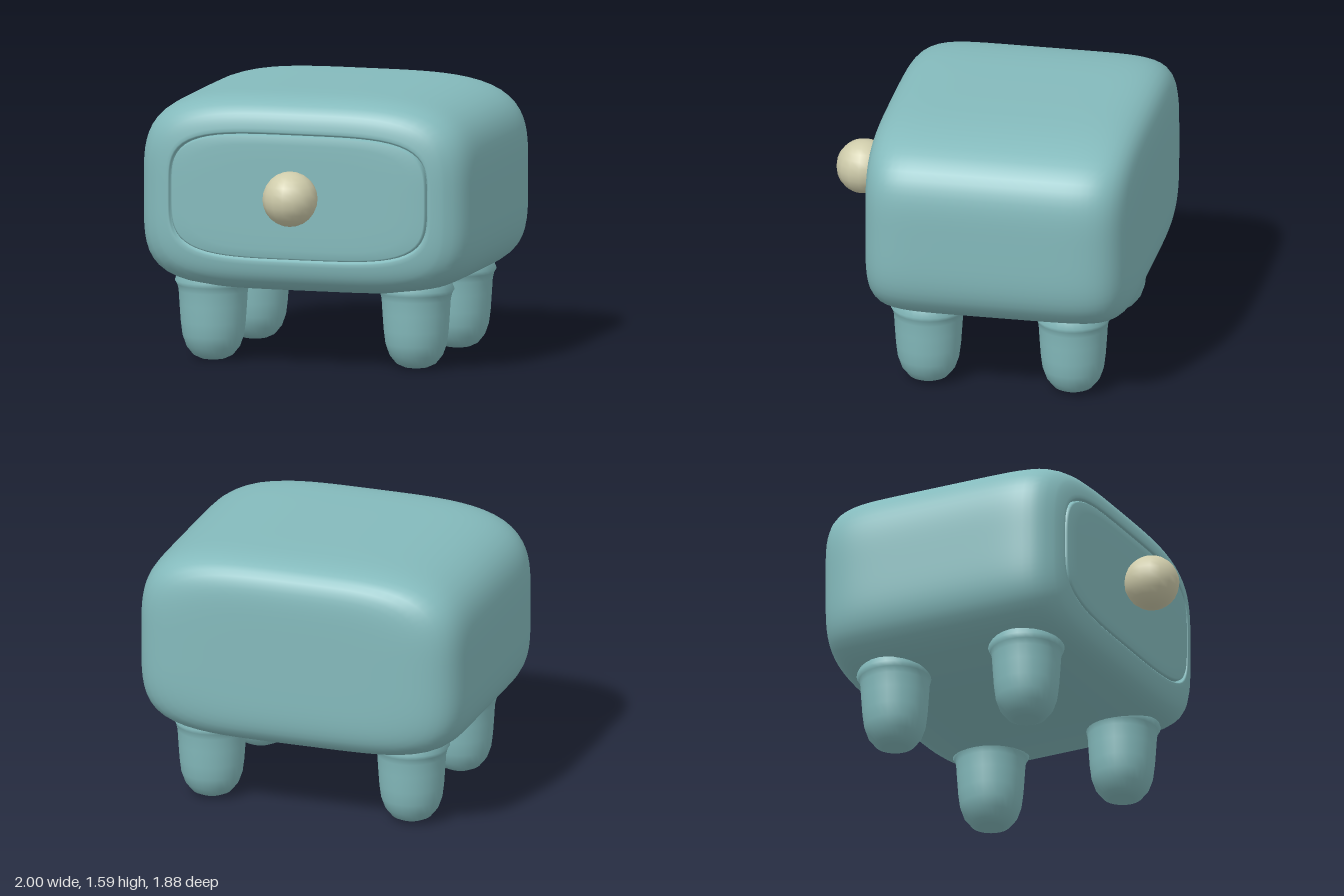
import * as THREE from 'three';

const CY = 1.008, CZ = -0.15;           // body centre
const HX = 1, HY = 0.577, HZ = 0.79;    // body half sizes
const EDGE = 7;                         // squareness of the front and back edges
const SIDES = 96;

// squareness of the body's front outline: upper corners are softer than lower ones
const corner = (y) => (y >= 0 ? 3.8 : 4.5);

// point on a rounded unit square at an angle
function squircle(a, n) {
  const c = Math.cos(a), s = Math.sin(a);
  const r = Math.pow(Math.abs(c) ** n + Math.abs(s) ** n, -1 / n);
  return [c * r, s * r];
}

const bodyOutline = (a, w) => {
  const [x, y] = squircle(a, corner(Math.sin(a)));
  return [x * HX * w, y * HY * w];
};

const drawerOutline = (a, grow) => {
  const [x, y] = squircle(a, 4);
  return [x * (0.768 + grow), y * (0.363 + grow)];
};

// z of the bulging front surface
function frontZ(x, y) {
  const n = corner(y);
  const w = Math.pow(Math.abs(x / HX) ** n + Math.abs(y / HY) ** n, 1 / n);
  return HZ * Math.pow(Math.max(0, 1 - w ** EDGE), 1 / EDGE);
}

// skin over rings that run from back to front; each ring maps an angle to [x, y, z]
function loft(rings) {
  const pos = [], index = [];
  rings.forEach((ring, i) => {
    for (let j = 0; j < SIDES; j++) {
      pos.push(...ring((j / SIDES) * Math.PI * 2));
      if (i === rings.length - 1) continue;
      const a = i * SIDES + j, b = i * SIDES + ((j + 1) % SIDES);
      index.push(a, b, a + SIDES, b, b + SIDES, a + SIDES);
    }
  });
  const g = new THREE.BufferGeometry();
  g.setAttribute('position', new THREE.Float32BufferAttribute(pos, 3));
  g.setIndex(index);
  g.computeVertexNormals();
  return g;
}

// ring around the drawer, sunk below the front surface
const drawerRing = (grow, depth) => (a) => {
  const [x, y] = drawerOutline(a, grow);
  return [x, y, frontZ(x, y) - depth];
};

function bodyGeometry() {
  const rings = [];
  // back, sides and front edge
  const start = -Math.PI / 2, end = THREE.MathUtils.degToRad(47), steps = 56;
  let w = 0;
  for (let i = 0; i <= steps; i++) {
    const [rw, rz] = squircle(start + ((end - start) * i) / steps, EDGE);
    w = Math.max(rw, 0.0001);
    const rim = w;
    rings.push((a) => [...bodyOutline(a, rim), rz * HZ]);
  }
  // front face narrowing to the drawer opening
  for (let i = 1; i <= 6; i++) {
    const t = i / 6;
    rings.push((a) => {
      const [x0, y0] = bodyOutline(a, w), [x1, y1] = drawerOutline(a, 0.016);
      const x = x0 + (x1 - x0) * t, y = y0 + (y1 - y0) * t;
      return [x, y, frontZ(x, y)];
    });
  }
  // outer wall of the groove
  rings.push(drawerRing(0.008, 0.006), drawerRing(0.004, 0.03), drawerRing(-0.01, 0.032));
  return loft(rings);
}

function drawerGeometry() {
  const rings = [drawerRing(0, 0.034), drawerRing(-0.003, 0.008), drawerRing(-0.012, 0)];
  for (let i = 1; i <= 8; i++) {
    const s = Math.max(1 - i / 8, 0.0001);
    rings.push((a) => {
      const [x, y] = drawerOutline(a, -0.012);
      return [x * s, y * s, frontZ(x * s, y * s)];
    });
  }
  return loft(rings);
}

export function createModel() {
  const model = new THREE.Group();
  model.name = 'nightstand';

  const teal = new THREE.MeshStandardMaterial({ color: 0x84babc });
  teal.name = 'teal paint';
  const cream = new THREE.MeshStandardMaterial({ color: 0xcfccab });
  cream.name = 'cream knob';

  const add = (name, geometry, material, x, y, z) => {
    const mesh = new THREE.Mesh(geometry, material);
    mesh.name = name;
    mesh.position.set(x, y, z);
    model.add(mesh);
    return mesh;
  };

  // cabinet with its inset drawer
  add('body', bodyGeometry(), teal, 0, CY, CZ);
  add('drawerFront', drawerGeometry(), teal, 0, CY + 0.018, CZ).position.y = CY + 0.018;
  model.getObjectByName('drawerFront').position.y = CY;

  // drawer knob
  add('knob', new THREE.SphereGeometry(0.16, 16, 12), cream, 0, 1.025, 0.78);

  // stubby legs, rounded at the foot and flared into the body
  const profile = [
    [0, 0], [0.07, 0.004], [0.115, 0.025], [0.155, 0.075], [0.178, 0.14],
    [0.188, 0.22], [0.195, 0.32], [0.2, 0.4], [0.208, 0.435], [0.222, 0.46], [0.2, 0.52], [0.15, 0.6],
  ].map(([r, y]) => new THREE.Vector2(r, y));
  const legGeometry = new THREE.LatheGeometry(profile, 28);
  for (const [end, z] of [['front', 0.28], ['back', -0.57]]) {
    for (const [side, x] of [['Left', 0.61], ['Right', -0.61]]) {
      add(`${end}${side}Leg`, legGeometry, teal, x, 0, z);
    }
  }
  return model;
}
